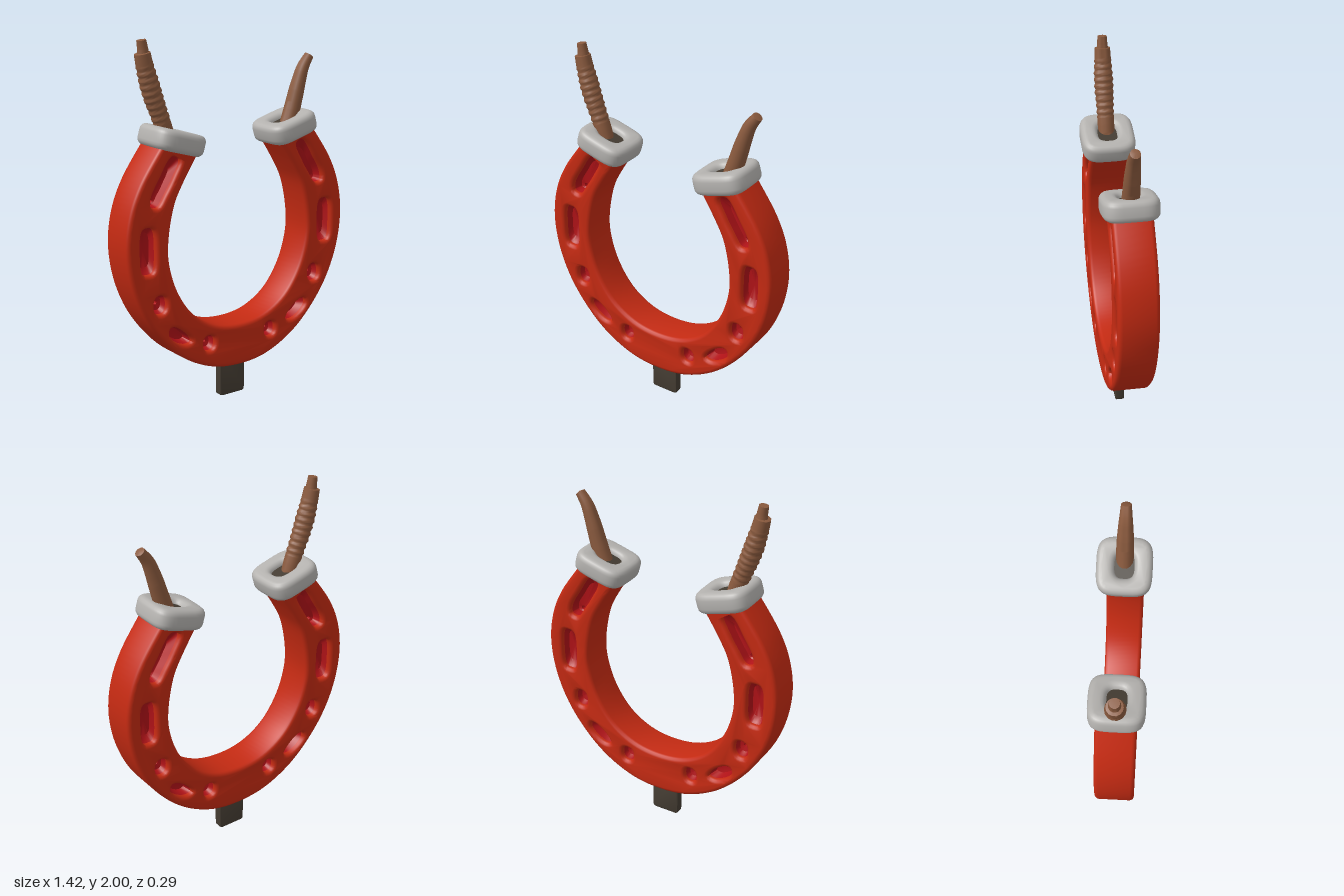
import * as THREE from 'three';
import { toCreasedNormals } from 'three/addons/utils/BufferGeometryUtils.js';

const V2 = (x, y) => new THREE.Vector2(x, y);
const material = (name, color, side = THREE.FrontSide) => {
  const m = new THREE.MeshStandardMaterial({ color, side });
  m.name = name;
  return m;
};

// Closed smooth outline through a few points
function smoothLoop(points, count = 28) {
  const curve = new THREE.CatmullRomCurve3(points.map(([x, y]) => new THREE.Vector3(x, y, 0)), true);
  return curve.getPoints(count).slice(0, count).map((p) => V2(p.x, p.y));
}

function superEllipse(w, h, power, count = 40, cx = 0, cy = 0) {
  return Array.from({ length: count }, (_, i) => {
    const a = (i / count) * Math.PI * 2, c = Math.cos(a), s = Math.sin(a);
    return V2(cx + w * Math.sign(c) * Math.abs(c) ** (2 / power),
      cy + h * Math.sign(s) * Math.abs(s) ** (2 / power));
  });
}

// Pocket from the front face to the back one, pinched to a small nail hole or a closed floor
function pocketGeometry(outline, center, holeRadius, floorZ) {
  const scaled = (k, z) => outline.map((p) => [center.x + (p.x - center.x) * k, center.y + (p.y - center.y) * k, z]);
  const hole = (z) => outline.map((p) => {
    const a = Math.atan2(p.y - center.y, p.x - center.x);
    return [center.x + holeRadius * Math.cos(a), center.y + holeRadius * Math.sin(a), z];
  });
  const rings = [scaled(1.04, 0.082), scaled(0.95, 0.065), scaled(0.74, floorZ), hole(floorZ - 0.006),
    hole(0.006 - floorZ), scaled(0.74, -floorZ), scaled(0.95, -0.065), scaled(1.04, -0.082)];
  const n = outline.length, index = [];
  for (let r = 0; r < rings.length - 1; r++) {
    if (r === 3 && holeRadius === 0) continue;
    for (let i = 0; i < n; i++) {
      const a = r * n + i, b = r * n + (i + 1) % n;
      index.push(a, a + n, b, b, a + n, b + n);
    }
  }
  const g = new THREE.BufferGeometry();
  g.setAttribute('position', new THREE.Float32BufferAttribute(rings.flat(2), 3));
  g.setIndex(index);
  return toCreasedNormals(g, 0.6);
}

// Tube whose radius follows a list of stops, closed at the far end
function taperedTube(points, radii, ridge = 0) {
  const rows = 72, sides = 14;
  const curve = new THREE.CatmullRomCurve3(points.map(([x, y]) => new THREE.Vector3(x, y, 0)));
  const g = new THREE.TubeGeometry(curve, rows, 1, sides, false);
  const pos = g.attributes.position, nor = g.attributes.normal;
  for (let i = 0; i < pos.count; i++) {
    const row = Math.floor(i / (sides + 1)), t = row / rows;
    const u = t * (radii.length - 1), k = Math.min(Math.floor(u), radii.length - 2);
    let r = THREE.MathUtils.lerp(radii[k], radii[k + 1], u - k);
    if (t > 0.25 && t < 0.85) r += ridge * Math.sin(row * 1.25);
    if (row === rows) r = 0;
    const c = curve.getPointAt(t);
    pos.setXYZ(i, c.x + nor.getX(i) * r, c.y + nor.getY(i) * r, nor.getZ(i) * r);
  }
  return toCreasedNormals(g, 0.9);
}

export function createModel() {
  const model = new THREE.Group();
  model.name = 'horseshoe';
  const red = material('shoe red', 0xc42a12);
  const crimson = material('pocket crimson', 0xb01217, THREE.DoubleSide);
  const grey = material('collar grey', 0xb4b2af);
  const brown = material('twig brown', 0x8a5a3e);
  const dark = material('dark umber', 0x443c32);
  const add = (name, geometry, mat, parent = model) => {
    const mesh = new THREE.Mesh(geometry, mat);
    mesh.name = name;
    parent.add(mesh);
    return mesh;
  };

  // Pockets of the +x half: outline, centre, nail hole radius, floor depth
  const pockets = [
    { name: 'endPocket', outline: smoothLoop([[0.43, 1.41], [0.38, 1.39], [0.42, 1.30], [0.47, 1.22],
      [0.52, 1.155], [0.56, 1.165], [0.56, 1.21], [0.51, 1.30]], 40), center: V2(0.525, 1.18), hole: 0.012, floor: 0.03 },
    { name: 'sidePocket', outline: superEllipse(0.047, 0.125, 3.5, 32, 0.583, 0.933), center: V2(0.583, 0.933), hole: 0, floor: 0.045 },
    { name: 'upperNailPocket', outline: superEllipse(0.04, 0.052, 2.4, 24, 0.513, 0.635), center: V2(0.513, 0.635), hole: 0.01, floor: 0.045 },
    { name: 'lowerSlotPocket', outline: smoothLoop([[0.45, 0.495], [0.41, 0.49], [0.335, 0.43], [0.32, 0.395],
      [0.36, 0.385], [0.43, 0.42], [0.46, 0.46]]), center: V2(0.39, 0.44), hole: 0, floor: 0.03 },
    { name: 'lowerNailPocket', outline: superEllipse(0.038, 0.044, 2.4, 24, 0.205, 0.36), center: V2(0.205, 0.36), hole: 0.01, floor: 0.045 },
  ];

  // Shoe body
  const mirrored = (half) => [...half.slice(1).reverse().map(([x, y]) => V2(-x, y)), ...half.map(([x, y]) => V2(x, y))];
  const outer = new THREE.SplineCurve(mirrored([[0, 0.195], [0.2, 0.225], [0.4, 0.335], [0.57, 0.52], [0.67, 0.72],
    [0.71, 0.93], [0.69, 1.12], [0.62, 1.29], [0.49, 1.475]])).getPoints(96);
  const inner = new THREE.SplineCurve(mirrored([[0, 0.43], [0.16, 0.455], [0.3, 0.54], [0.4, 0.68], [0.452, 0.84],
    [0.455, 0.98], [0.42, 1.15], [0.36, 1.27], [0.27, 1.41]])).getPoints(96);
  const shape = new THREE.Shape([...outer, ...inner.reverse()]);
  for (const p of pockets) {
    for (const s of [1, -1]) shape.holes.push(new THREE.Path(p.outline.map((v) => V2(v.x * s, v.y))));
  }
  const bevel = 0.022;
  const body = new THREE.ExtrudeGeometry(shape, { depth: 0.21 - 2 * bevel, bevelEnabled: true,
    bevelThickness: bevel, bevelSize: bevel, bevelOffset: -bevel, bevelSegments: 3 });
  body.translate(0, 0, bevel - 0.105);
  add('shoeBody', toCreasedNormals(body, 0.7), red);

  // Recessed pockets, both halves
  for (const p of pockets) {
    for (const s of [1, -1]) {
      const outline = p.outline.map((v) => V2(v.x * s, v.y));
      add(p.name, pocketGeometry(outline, V2(p.center.x * s, p.center.y), p.hole, p.floor), crimson);
    }
  }

  // Soft collars with dark hollow ends
  const collarShape = new THREE.Shape(superEllipse(0.152, 0.146, 3.8, 48));
  collarShape.holes.push(new THREE.Path(superEllipse(0.065, 0.052, 3, 32)));
  const collarGeometry = new THREE.ExtrudeGeometry(collarShape, { depth: 0.046, bevelEnabled: true,
    bevelThickness: 0.033, bevelSize: 0.033, bevelOffset: -0.033, bevelSegments: 4 });
  collarGeometry.translate(0, 0, -0.023).rotateX(-Math.PI / 2);
  const collarSmooth = toCreasedNormals(collarGeometry, 0.9);
  for (const s of [1, -1]) {
    const end = new THREE.Group();
    end.name = s > 0 ? 'leftEnd' : 'rightEnd';
    end.position.set(0.37 * s, 1.477, 0);
    end.rotation.z = 0.28 * s;
    model.add(end);
    add('collar', collarSmooth, grey, end);
    add('hollowFloor', new THREE.BoxGeometry(0.16, 0.03, 0.135), dark, end).position.y = 0.01;
  }

  // Twigs
  add('leftTwig', taperedTube([[0.385, 1.46], [0.42, 1.56], [0.465, 1.71], [0.495, 1.79], [0.54, 1.855]],
    [0.046, 0.046, 0.043, 0.036, 0.026]), brown);
  add('rightTwig', taperedTube([[-0.39, 1.46], [-0.43, 1.58], [-0.485, 1.73], [-0.525, 1.87], [-0.54, 1.94]],
    [0.044, 0.046, 0.046, 0.05, 0.051, 0.046, 0.042], 0.003), brown);
  add('rightTwigTip', taperedTube([[-0.532, 1.91], [-0.535, 1.95], [-0.543, 2.0]], [0.034, 0.028, 0.025]), brown);

  // Bottom tab
  const tab = new THREE.ExtrudeGeometry(new THREE.Shape(superEllipse(0.082, 0.115, 14, 48)), { depth: 0.038,
    bevelEnabled: true, bevelThickness: 0.006, bevelSize: 0.006, bevelOffset: -0.006, bevelSegments: 2 });
  tab.translate(0, 0.115, -0.019);
  add('bottomTab', toCreasedNormals(tab, 0.6), dark);

  return model;
}
